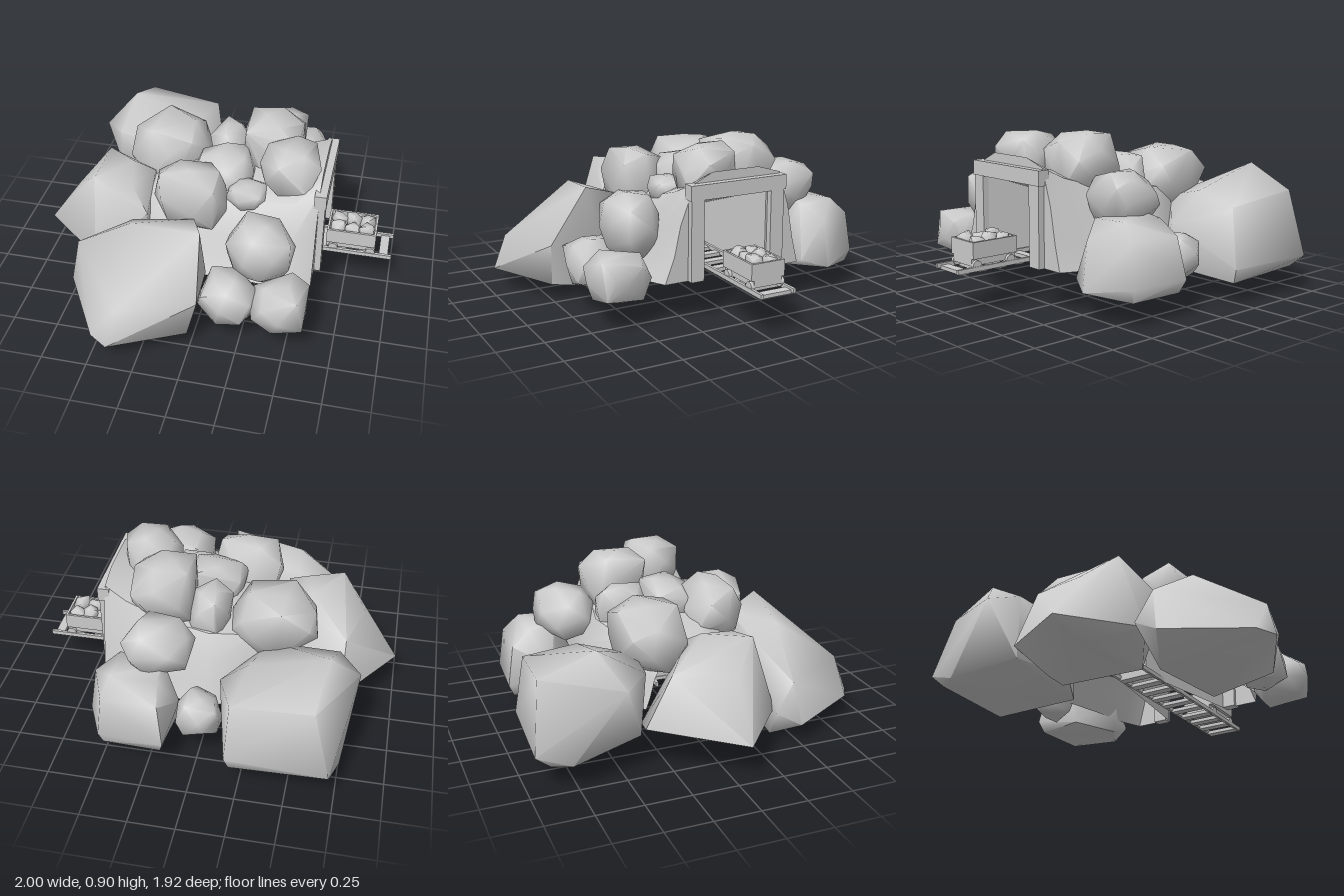
import * as THREE from 'three';
import { mergeVertices, toCreasedNormals } from 'three/addons/utils/BufferGeometryUtils.js';
import { ConvexGeometry } from 'three/addons/geometries/ConvexGeometry.js';

const mat = new THREE.MeshStandardMaterial({ color: 0xcccccc });
const thin = new THREE.MeshStandardMaterial({ color: 0xcccccc, side: THREE.DoubleSide });

function add(parent, name, geo, material = mat) {
  const m = new THREE.Mesh(geo, material);
  m.name = name;
  parent.add(m);
  return m;
}

// Box given by its min and max on each axis
function box(parent, name, x0, x1, y0, y1, z0, z1) {
  const m = add(parent, name, new THREE.BoxGeometry(x1 - x0, y1 - y0, z1 - z0));
  m.position.set((x0 + x1) / 2, (y0 + y1) / 2, (z0 + z1) / 2);
  return m;
}

// Convex stone with soft shading and a few hard edges
function hull(points) {
  const g = new ConvexGeometry(points);
  g.deleteAttribute('normal');
  return toCreasedNormals(mergeVertices(g, 1e-4), 1.25);
}

function seeded(seed) {
  let s = seed * 7919 + 17;
  return () => (s = (s * 16807) % 2147483647) / 2147483647;
}

// Irregular blocky stone that fills the given bounds
function boulder(seed, x0, x1, y0, y1, z0, z1, n = 22) {
  const rnd = seeded(seed);
  for (let i = 0; i < 5; i++) rnd();
  const turn = rnd() * 6.28;
  const pts = [];
  for (let i = 0; i < n; i++) {
    const y = 1 - (2 * (i + 0.5)) / n, r = Math.sqrt(1 - y * y), a = i * 2.4 + turn + rnd() * 0.5;
    const p = new THREE.Vector3(r * Math.cos(a), y, r * Math.sin(a));
    const norm = (p.x ** 4 + p.y ** 4 + p.z ** 4) ** 0.25;
    pts.push(p.multiplyScalar((0.92 + rnd() * 0.16) / norm));
  }
  const b = new THREE.Box3().setFromPoints(pts), size = b.getSize(new THREE.Vector3());
  const lo = new THREE.Vector3(x0, y0, z0), span = new THREE.Vector3(x1 - x0, y1 - y0, z1 - z0);
  pts.forEach((p) => p.sub(b.min).divide(size).multiply(span).add(lo));
  return hull(pts);
}

// Open surface through successive cross-sections of equal length
function loft(sections) {
  const n = sections[0].length, index = [];
  for (let i = 0; i < sections.length - 1; i++)
    for (let j = 0; j < n - 1; j++) {
      const a = i * n + j, b = a + n;
      index.push(a, a + 1, b, a + 1, b + 1, b);
    }
  const g = new THREE.BufferGeometry();
  g.setAttribute('position', new THREE.Float32BufferAttribute(sections.flat(2), 3));
  g.setIndex(index);
  return toCreasedNormals(g, 0.8);
}

export function createModel() {
  const model = new THREE.Group();
  model.name = 'mineEntrance';

  // Large boulders, each from its main corners
  const bigRocks = {
    backLeftBoulder: [
      [-0.72, 0.2, -0.96], [-0.18, 0.2, -0.93], [-0.2, 0.52, -0.88], [-0.63, 0.57, -0.91], [-0.66, 0.69, -0.62],
      [-0.25, 0.57, -0.6], [-0.09, 0.4, -0.55], [-0.12, 0.16, -0.43], [-0.33, 0.5, -0.31], [-0.33, 0.2, -0.32],
      [-0.7, 0.55, -0.38], [-0.68, 0.2, -0.4], [-0.82, 0.52, -0.51], [-0.76, 0.14, -0.78], [-0.7, 0.13, -0.88], [-0.2, 0.12, -0.9]],
    leftBoulder: [
      [-1, 0.2, 0.07], [-0.82, 0.12, 0.1], [-0.72, 0.25, -0.39], [-0.5, 0.14, -0.32], [-0.72, 0.52, -0.25],
      [-0.8, 0.49, 0.08], [-0.5, 0.63, 0], [-0.38, 0.56, -0.03], [-0.34, 0.5, 0.3], [-0.36, 0.12, 0.18],
      [-0.66, 0.64, 0.22], [-0.64, 0.2, 0.37], [-0.4, 0.12, -0.3], [-0.45, 0.6, 0.2]],
    frontLeftBoulder: [
      [-0.4, 0.11, 0.96], [-0.5, 0.12, 0.9], [-0.36, 0.31, 0.9], [0.05, 0.34, 0.78], [-0.01, 0.1, 0.76],
      [-0.55, 0, 0.4], [-0.03, 0.03, 0.42], [0.02, 0.63, 0.56], [-0.38, 0.58, 0.5], [-0.7, 0.36, 0.45],
      [-0.74, 0.12, 0.49], [-0.71, 0.2, 0.35], [-0.06, 0.56, 0.36], [-0.1, 0.2, 0.3], [-0.4, 0.5, 0.36], [0.03, 0.3, 0.48]],
    backRightBoulder: [
      [0.15, 0.2, -0.89], [0.5, 0.2, -0.87], [0.48, 0.42, -0.84], [0.18, 0.42, -0.85], [0.61, 0.16, -0.63],
      [0.57, 0.42, -0.62], [0.54, 0.2, -0.5], [0.45, 0.5, -0.54], [0.38, 0.3, -0.47], [0.2, 0.52, -0.6], [0.2, 0.5, -0.75],
      [0.45, 0.51, -0.75], [0.11, 0.3, -0.65], [0.14, 0.14, -0.6], [0.4, 0.14, -0.5], [0.17, 0.13, -0.86], [0.48, 0.13, -0.85]],
  };
  for (const [name, pts] of Object.entries(bigRocks))
    add(model, name, hull(pts.map((p) => new THREE.Vector3(...p))));

  // Smaller boulders by bounds: x, y, z
  [
    [-0.12, 0.12, 0.14, 0.39, -0.8, -0.56],
    [0.06, 0.41, 0.43, 0.72, -0.69, -0.37],
    [-0.57, -0.09, 0.42, 0.78, -0.43, -0.03],
    [-0.1, 0.13, 0.5, 0.77, -0.41, -0.12],
    [0.1, 0.44, 0.57, 0.9, -0.42, -0.06],
    [0.24, 0.58, 0.62, 0.9, -0.11, 0.21],
    [-0.13, 0.2, 0.5, 0.78, -0.13, 0.15],
    [-0.31, 0.1, 0.42, 0.8, 0.06, 0.36],
    [0.08, 0.31, 0.53, 0.69, 0.05, 0.26],
    [0.14, 0.5, 0.3, 0.67, 0.31, 0.59],
    [0.02, 0.33, 0.13, 0.4, 0.47, 0.74],
    [0.29, 0.6, 0.13, 0.39, 0.44, 0.76],
  ].forEach((b, i) => add(model, 'boulder' + (i + 1), boulder(i + 1, ...b)));

  // Hollow mound, arch profile as [z, y]; sections are x, z scale, height scale, z shift
  const base = 0.22;
  const arch = [[0.44, 0.22], [0.38, 0.36], [0.34, 0.52], [0.25, 0.73], [0.13, 0.78],
    [-0.18, 0.78], [-0.33, 0.74], [-0.4, 0.55], [-0.44, 0.36], [-0.48, 0.22]];
  const mound = [[0.59, 0.88, 1, -0.01], [0.47, 1, 0.88, 0], [0.25, 1.02, 0.75, -0.03], [0, 1.08, 0.72, -0.06],
    [-0.25, 0.95, 0.66, -0.03], [-0.45, 0.6, 0.5, 0]]
    .map(([x, sz, sy, dz]) => arch.map(([z, y]) => [x, base + (y - base) * sy, z * sz + dz]));
  add(model, 'mound', loft(mound), thin);

  // Front wall with the doorway cut out
  const face = new THREE.Shape(mound[0].map(([, y, z]) => new THREE.Vector2(-z, y)).concat(
    [[0.22, 0.22], [0.22, 0.65], [-0.17, 0.65], [-0.17, 0.22]].map((p) => new THREE.Vector2(...p))));
  const wall = add(model, 'frontWall', new THREE.ShapeGeometry(face), thin);
  wall.rotation.y = Math.PI / 2;
  wall.position.x = 0.59;

  // Tunnel narrowing inwards, closed at its end
  const ring = (x, z0, z1, top) => [[x, base, z0], [x, top, z0], [x, top, z1], [x, base, z1]];
  add(model, 'tunnel', loft([ring(0.59, 0.17, -0.22, 0.65), ring(-0.1, 0.04, -0.13, 0.41), ring(-0.1, -0.045, -0.045, base)]), thin);

  // Timber door frame
  const frame = new THREE.Group();
  frame.name = 'doorFrame';
  model.add(frame);
  box(frame, 'post', 0.57, 0.625, base, 0.65, 0.17, 0.245);
  box(frame, 'post', 0.57, 0.625, base, 0.65, -0.31, -0.23);
  box(frame, 'lintel', 0.565, 0.63, 0.65, 0.73, -0.32, 0.25);

  // Track: two rails on ties
  const track = new THREE.Group();
  track.name = 'track';
  model.add(track);
  const mid = -0.035;
  for (const s of [-1, 1])
    box(track, 'rail', -0.2, 1, 0.222, 0.246, mid + s * 0.095 - 0.008, mid + s * 0.095 + 0.008);
  for (let i = 0; i < 10; i++) {
    const x = 0.955 - i * 0.115;
    box(track, 'tie', x - 0.025, x + 0.025, 0.215, 0.235, mid - 0.095, mid + 0.095);
  }

  // Ore cart: floor, four walls, wheels and ore
  const cart = new THREE.Group();
  cart.name = 'oreCart';
  model.add(cart);
  const [x0, x1, z0, z1] = [0.63, 0.905, mid - 0.098, mid + 0.098];
  box(cart, 'cartFloor', x0, x1, 0.285, 0.3, z0, z1);
  box(cart, 'cartSide', x0, x1, 0.285, 0.372, z0, z0 + 0.012);
  box(cart, 'cartSide', x0, x1, 0.285, 0.372, z1 - 0.012, z1);
  box(cart, 'cartEnd', x0, x0 + 0.012, 0.285, 0.372, z0, z1);
  box(cart, 'cartEnd', x1 - 0.012, x1, 0.285, 0.372, z0, z1);
  box(cart, 'chassis', x0, x1, 0.247, 0.285, mid - 0.08, mid + 0.08);
  for (const x of [0.67, 0.88]) {
    for (const s of [-1, 1]) {
      const wheel = add(cart, 'wheel', new THREE.CylinderGeometry(0.027, 0.027, 0.018, 14));
      wheel.rotation.x = Math.PI / 2;
      wheel.position.set(x, 0.25, mid + s * 0.09);
    }
    const axle = add(cart, 'axle', new THREE.CylinderGeometry(0.009, 0.009, 0.18, 8));
    axle.rotation.x = Math.PI / 2;
    axle.position.set(x, 0.25, mid);
  }
  for (let i = 0; i < 6; i++) {
    const x = 0.69 + (i % 3) * 0.078, z = mid + (i < 3 ? -0.042 : 0.042), top = 0.39 + (i % 2) * 0.012;
    add(cart, 'ore', boulder(30 + i, x - 0.046, x + 0.046, 0.3, top, z - 0.042, z + 0.042, 14));
  }
  return model;
}
